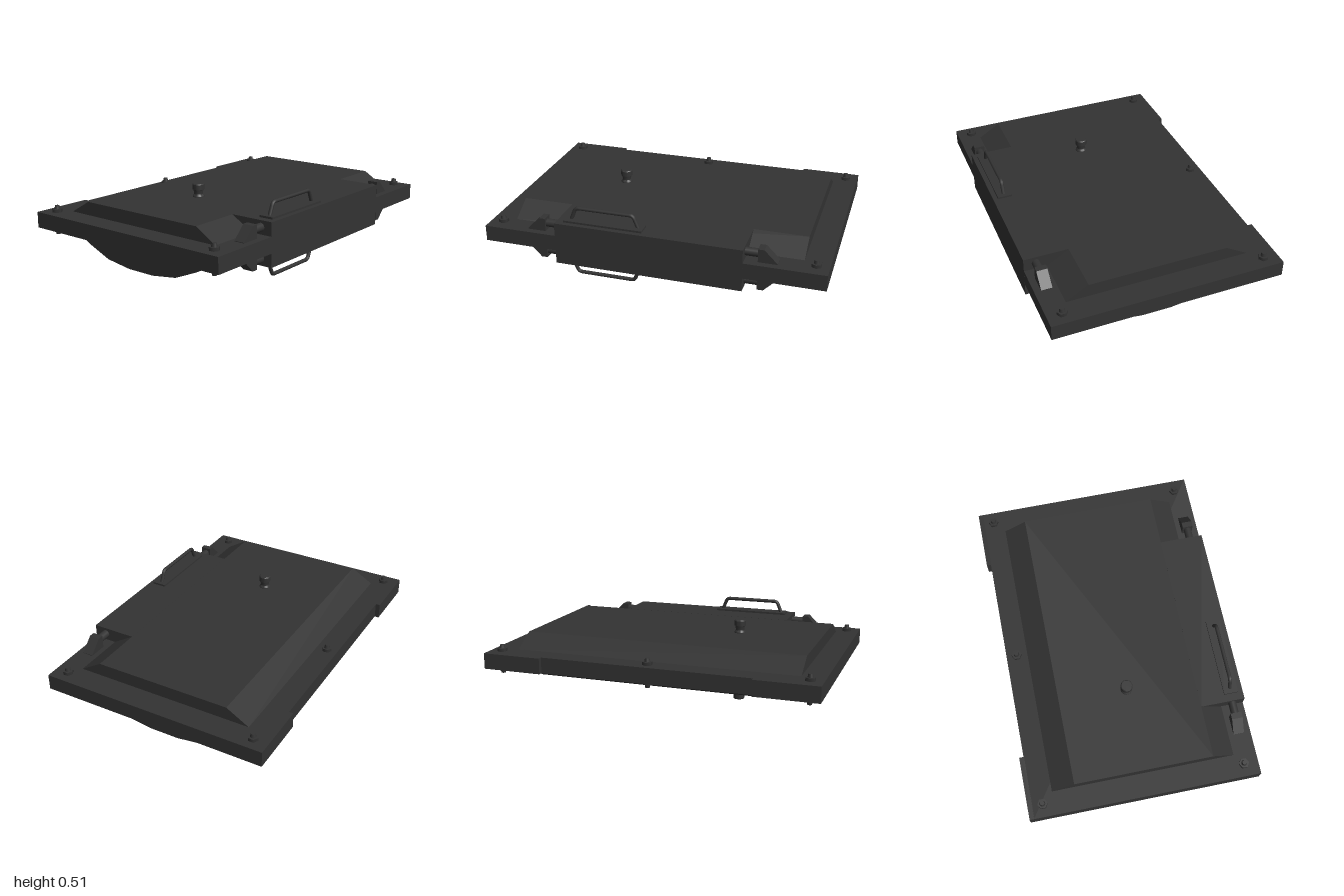
import * as THREE from 'three';
import { toCreasedNormals } from 'three/addons/utils/BufferGeometryUtils.js';

const MID = 0.294; // height of the slab's centre plane
const material = new THREE.MeshStandardMaterial({ color: 0x333333 });

function add(parent, name, geometry, x = 0, y = 0, z = 0) {
  const mesh = new THREE.Mesh(geometry, material);
  mesh.name = name;
  mesh.position.set(x, y, z);
  parent.add(mesh);
  return mesh;
}

// Box given by its limits on each axis
function block(parent, name, [x0, x1], [y0, y1], [z0, z1]) {
  return add(parent, name, new THREE.BoxGeometry(x1 - x0, y1 - y0, z1 - z0),
    (x0 + x1) / 2, (y0 + y1) / 2, (z0 + z1) / 2);
}

function extrude(points, depth) {
  const shape = new THREE.Shape(points.map(([x, y]) => new THREE.Vector2(x, y)));
  return new THREE.ExtrudeGeometry(shape, { depth, bevelEnabled: false });
}

// Hex nut with the bolt end above it
function addBolt(parent, x, z) {
  const bolt = new THREE.Group();
  bolt.name = 'bolt';
  bolt.position.set(x, 0.046, z);
  add(bolt, 'nut', new THREE.CylinderGeometry(0.03, 0.03, 0.02, 6).rotateY(Math.PI / 6), 0, 0.01, 0);
  add(bolt, 'boltEnd', new THREE.CylinderGeometry(0.013, 0.017, 0.02, 12), 0, 0.03, 0);
  parent.add(bolt);
}

// Bolt rod leaving the lock case and its wedge-shaped keeper; dir is the way it points in z
function addLatch(parent, start, dir) {
  const latch = new THREE.Group();
  latch.name = 'latch';
  latch.position.set(0.612, 0, start);
  if (dir < 0) latch.rotation.y = Math.PI;
  add(latch, 'latchRod', new THREE.CylinderGeometry(0.024, 0.024, 0.1, 16).rotateX(Math.PI / 2), 0, 0.088, 0.05);
  const wedge = extrude([[0.08, 0.04], [0.19, 0.04], [0.19, 0.05], [0.115, 0.125], [0.08, 0.125]], 0.064);
  wedge.translate(0, 0, -0.032).rotateY(-Math.PI / 2);
  add(latch, 'latchKeeper', wedge);
  parent.add(latch);
}

// Bent grab bar on a thin plate
function addHandle(parent) {
  const handle = new THREE.Group();
  handle.name = 'handle';
  block(handle, 'handlePlate', [0.57, 0.655], [0.12, 0.138], [0.045, 0.515]);
  const p = (y, z) => new THREE.Vector3(0.612, y, z);
  const path = new THREE.CurvePath();
  path.add(new THREE.LineCurve3(p(0.13, 0.483), p(0.187, 0.46)));
  path.add(new THREE.QuadraticBezierCurve3(p(0.187, 0.46), p(0.206, 0.452), p(0.206, 0.435)));
  path.add(new THREE.LineCurve3(p(0.206, 0.435), p(0.206, 0.125)));
  path.add(new THREE.QuadraticBezierCurve3(p(0.206, 0.125), p(0.206, 0.108), p(0.187, 0.1)));
  path.add(new THREE.LineCurve3(p(0.187, 0.1), p(0.13, 0.077)));
  add(handle, 'grabBar', new THREE.TubeGeometry(path, 60, 0.011, 10, false));
  parent.add(handle);
}

// Fittings carried by each face, built outward from the centre plane
function faceFittings(name) {
  const side = new THREE.Group();
  side.name = name;
  for (const [x, z] of [[-0.6, -0.927], [-0.6, 0], [-0.6, 0.925], [0.596, -0.927], [0.596, 0.925]]) addBolt(side, x, z);
  addLatch(side, 0.555, 1);
  addLatch(side, -0.535, -1);
  addHandle(side);
  const profile = [[0.034, 0.12], [0.034, 0.13], [0.026, 0.142], [0.026, 0.15], [0.03, 0.168], [0.035, 0.17], [0.035, 0.2], [0.031, 0.205], [0, 0.205]];
  const knob = new THREE.LatheGeometry(profile.map(([r, y]) => new THREE.Vector2(r, y)), 24);
  add(side, 'knob', toCreasedNormals(knob, 0.5), 0.008, 0, 0.367);
  return side;
}

export function createModel() {
  const door = new THREE.Group();
  door.name = 'hatchDoor';

  // Rim slab and the two hinge strips
  block(door, 'rimSlab', [-0.663, 0.683], [0.247, 0.341], [-1, 1]);
  block(door, 'hingeStripBack', [-0.689, -0.66], [0.247, 0.341], [-1, -0.637]);
  block(door, 'hingeStripFront', [-0.689, -0.66], [0.247, 0.341], [0.63, 1]);

  // Flat raised panel above, curved belly below
  const panel = extrude([[-0.535, 0.33], [-0.535, 0.341], [-0.4, 0.42], [0.42, 0.42], [0.55, 0.341], [0.55, 0.33]], 1.718);
  add(door, 'raisedPanel', toCreasedNormals(panel, 0.4), 0, 0, -0.855);
  const belly = extrude([[0.55, 0.26], [-0.535, 0.26], [-0.535, 0.247], [-0.4, 0.168], [-0.25, 0.105], [-0.08, 0.081],
    [0.1, 0.081], [0.27, 0.105], [0.42, 0.168], [0.55, 0.247]], 1.718);
  add(door, 'belly', toCreasedNormals(belly, 0.5), 0, 0, -0.855);

  // Lock case on the opening edge
  block(door, 'lockCase', [0.42, 0.6835], [0.167, 0.4205], [-0.54, 0.56]);

  // Matching fittings on both faces; the lower set's depth is flipped back by reversing z
  const top = faceFittings('topFittings');
  top.position.y = MID;
  const bottom = faceFittings('bottomFittings');
  bottom.position.y = MID;
  bottom.scale.y = -1;
  bottom.getObjectByName('knob').position.y = 0.086 - 0.077;
  bottom.getObjectByName('knob').position.y += 0.08;
  door.add(top, bottom);
  return door;
}
